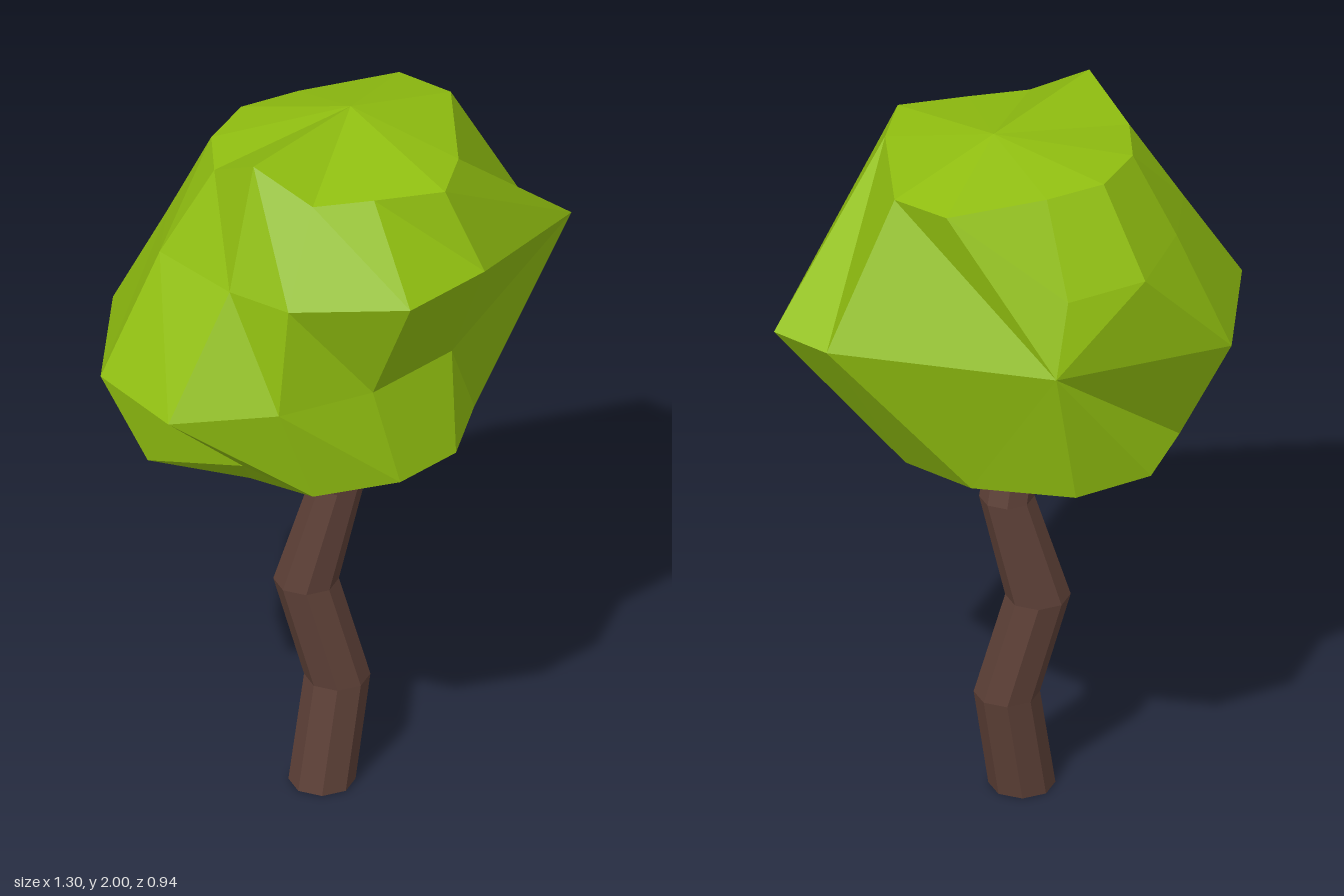
import * as THREE from 'three';

const leafGreen = new THREE.MeshStandardMaterial({ color: 0x90be10 });
const barkBrown = new THREE.MeshStandardMaterial({ color: 0x5d4037 });
leafGreen.name = 'leafGreen';
barkBrown.name = 'barkBrown';

// Flat-shaded geometry from triangles of [x, y, z] points; collapsed ones are dropped
function facetGeometry(triangles) {
  const tri = new THREE.Triangle();
  const points = [];
  for (const t of triangles) {
    const [a, b, c] = t.map((p) => new THREE.Vector3(...p));
    if (tri.set(a, b, c).getArea() > 1e-6) points.push(a, b, c);
  }
  const geometry = new THREE.BufferGeometry().setFromPoints(points);
  geometry.computeVertexNormals();
  return geometry;
}

// Facets between two rings that run from the back round by +x to the front
function bridge(upper, lower) {
  const out = [];
  upper.forEach((p, i) => {
    const j = (i + 1) % upper.length;
    out.push([p, upper[j], lower[i]], [upper[j], lower[j], lower[i]]);
  });
  return out;
}

// Facets from a ring to a single point
function fan(pole, ring, facingUp) {
  return ring.map((p, i) => {
    const q = ring[(i + 1) % ring.length];
    return facingUp ? [pole, q, p] : [pole, p, q];
  });
}

function buildCanopy() {
  // Corners pulled far out, shared by the two middle rings
  const backLeft = [0.285, 1.5, -0.415];
  const sideLeft = [0.635, 1.53, 0.075];
  const tipLeft = [0.65, 1.53, 0.25];
  const at = (y, pairs) => pairs.map(([x, z]) => [x, y, z]);

  const top = at(1.91, [
    [-0.02, -0.29], [0.14, -0.24], [0.39, -0.12], [0.415, 0.043], [0.195, 0.29], [0.055, 0.38],
    [-0.105, 0.28], [-0.24, 0.19], [-0.31, 0.043], [-0.29, -0.12], [-0.18, -0.24],
  ]);
  top[8][1] = 2.0; // raised peak

  const upper = [
    ...at(1.68, [[-0.02, -0.44], [0.2, -0.375]]),
    backLeft, sideLeft, tipLeft,
    ...at(1.68, [[0.113, 0.467], [-0.16, 0.467], [-0.39, 0.25], [-0.425, 0.07], [-0.41, -0.2], [-0.25, -0.33]]),
  ];
  const lower = [
    backLeft, backLeft, backLeft, sideLeft, tipLeft,
    ...at(1.38, [[0.12, 0.34], [-0.17, 0.34], [-0.425, 0.25], [-0.655, 0.075], [-0.61, -0.217], [-0.31, -0.47]]),
  ];
  const bottom = at(1.107, [
    [-0.02, -0.46], [0.197, -0.4], [0.35, -0.17], [0.372, 0.045], [0.28, 0.263], [0.085, 0.39],
    [-0.12, 0.39], [-0.33, 0.28], [-0.35, 0.045], [-0.504, -0.15], [-0.23, -0.36],
  ]);

  const mesh = new THREE.Mesh(facetGeometry([
    ...fan([0.09, 1.99, 0], top, true),
    ...bridge(top, upper),
    ...bridge(upper, lower),
    ...bridge(lower, bottom),
    ...fan([-0.28, 1.02, 0], bottom, false),
  ]), leafGreen);
  mesh.name = 'canopy';
  return mesh;
}

function buildTrunk() {
  const group = new THREE.Group();
  group.name = 'trunk';
  // Crooked stem: height, centre x, centre z, radius
  const sections = [
    [0, -0.028, 0.013, 0.087], [0.295, 0.028, 0.013, 0.086], [0.585, -0.028, -0.045, 0.085],
    [0.88, 0.03, 0.011, 0.072], [1.17, -0.03, 0.011, 0.068],
  ];
  const sides = 8;
  const rings = sections.map(([y, cx, cz, r]) => Array.from({ length: sides }, (_, i) => {
    const a = (i / sides) * Math.PI * 2;
    return [cx + r * Math.sin(a), y, cz - r * Math.cos(a)];
  }));
  const walls = [];
  for (let i = 1; i < rings.length; i++) walls.push(...bridge(rings[i], rings[i - 1]));
  const stem = new THREE.Mesh(facetGeometry(walls), barkBrown);
  stem.name = 'stem';

  // End caps share the leaf colour
  const last = sections.length - 1;
  const centre = ([y, x, z]) => [x, y, z];
  const caps = new THREE.Mesh(facetGeometry([
    ...fan(centre(sections[0]), rings[0], false),
    ...fan(centre(sections[last]), rings[last], true),
  ]), leafGreen);
  caps.name = 'stemEnds';
  group.add(stem, caps);
  return group;
}

export function createModel() {
  const tree = new THREE.Group();
  tree.name = 'tree';
  tree.add(buildTrunk(), buildCanopy());
  return tree;
}
